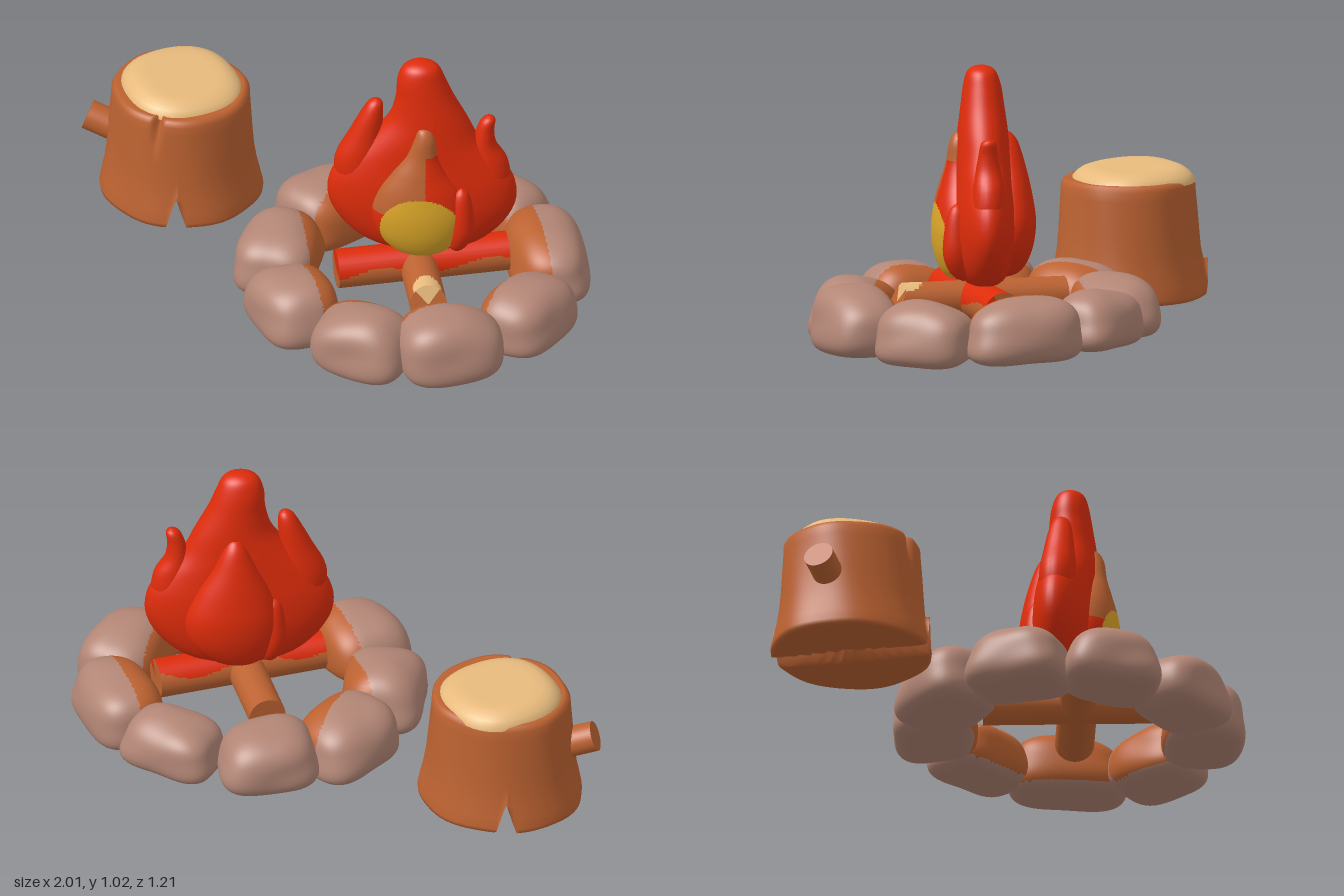
import * as THREE from 'three';
import { mergeVertices } from 'three/addons/utils/BufferGeometryUtils.js';

const mat = (name, color) => {
  const m = new THREE.MeshStandardMaterial({ color });
  m.name = name;
  return m;
};

// Weld a geometry and give it smooth normals
function smooth(geo) {
  geo.deleteAttribute('uv');
  geo.deleteAttribute('normal');
  const g = mergeVertices(geo, 1e-4);
  g.clearGroups();
  g.computeVertexNormals();
  return g;
}

// Round skin: fn(angle, t, out) places each point, t running from bottom to top
function skin(seg, rows, fn) {
  const geo = new THREE.PlaneGeometry(1, 1, seg, rows);
  const pos = geo.attributes.position, p = new THREE.Vector3();
  for (let i = 0; i < pos.count; i++) {
    fn((pos.getX(i) + 0.5) * Math.PI * 2, pos.getY(i) + 0.5, p);
    pos.setXYZ(i, p.x, p.y, p.z);
  }
  return smooth(geo);
}

// Sort faces into material groups; rule(centre) returns a material index
function paint(geo, count, rule) {
  const pos = geo.attributes.position, idx = geo.index.array;
  const lists = Array.from({ length: count }, () => []);
  const c = new THREE.Vector3(), v = new THREE.Vector3();
  for (let i = 0; i < idx.length; i += 3) {
    c.set(0, 0, 0);
    for (let k = 0; k < 3; k++) c.add(v.fromBufferAttribute(pos, idx[i + k]));
    lists[rule(c.divideScalar(3))].push(idx[i], idx[i + 1], idx[i + 2]);
  }
  geo.setIndex(lists.flat());
  geo.clearGroups();
  let start = 0;
  lists.forEach((l, m) => { geo.addGroup(start, l.length, m); start += l.length; });
  return geo;
}

// Flame tongue lofted through rows of [y, centreX, centreZ, radiusX, radiusZ]
function tongue(rows, seg = 40, steps = 36) {
  const path = new THREE.CatmullRomCurve3(rows.map(r => new THREE.Vector3(r[1], r[0], r[2])));
  const size = new THREE.CatmullRomCurve3(rows.map(r => new THREE.Vector3(r[3], r[4], 0)));
  path.curveType = size.curveType = 'catmullrom';
  return skin(seg, steps, (a, t, p) => {
    const c = path.getPoint(t), s = size.getPoint(t);
    const end = t < 1e-6 || t > 1 - 1e-6 ? 0 : 1;
    p.set(c.x + end * Math.max(0, s.x) * Math.sin(a), c.y, c.z + end * Math.max(0, s.y) * Math.cos(a));
  });
}

// Log from a to b; slant leans the cut at b so it faces upward
function log(a, b, r, slant = 0) {
  const dir = b.clone().sub(a), len = dir.length();
  dir.normalize();
  const geo = new THREE.CylinderGeometry(r, r, len, 48, 36);
  const mid = a.clone().add(b).multiplyScalar(0.5);
  const q = new THREE.Quaternion().setFromUnitVectors(new THREE.Vector3(0, 1, 0), dir);
  geo.applyMatrix4(new THREE.Matrix4().compose(mid, q, new THREE.Vector3(1, 1, 1)));
  const pos = geo.attributes.position, v = new THREE.Vector3();
  for (let i = 0; i < pos.count; i++) {
    v.fromBufferAttribute(pos, i);
    const along = Math.max(0, v.clone().sub(mid).dot(dir) / (len / 2));
    v.addScaledVector(dir, -(v.y - mid.y) * slant * along);
    pos.setXYZ(i, v.x, v.y, v.z);
  }
  geo.computeVertexNormals();
  return geo;
}

export function createModel() {
  const root = new THREE.Group();
  const red = mat('flame red', 0xde2c0a), brown = mat('wood brown', 0xbc6231);
  const tan = mat('cut wood tan', 0xedbf80), stone = mat('stone', 0xb38676), yellow = mat('flame yellow', 0xdaa528);
  const add = (parent, name, geo, material) => {
    const m = new THREE.Mesh(geo, material);
    m.name = name;
    parent.add(m);
    return m;
  };
  const V = (x, y, z) => new THREE.Vector3(x, y, z);

  // Ring of stones: x, z, radial half, tangential half, bottom, top, glow threshold, glow skew
  const ring = new THREE.Group();
  ring.name = 'stoneRing';
  root.add(ring);
  [
    [0.11, -0.39, 0.15, 0.175, 0.025, 0.25, 0.78, 0], [0.44, -0.475, 0.135, 0.18, 0.035, 0.25, 0.8, 0],
    [0.735, -0.325, 0.135, 0.205, 0.015, 0.26, 0.15, 0], [0.86, 0, 0.14, 0.178, 0.003, 0.237, 0.68, 0.25],
    [0.74, 0.32, 0.14, 0.185, 0.003, 0.255, 0.55, 0.25], [0.465, 0.455, 0.142, 0.18, 0.003, 0.235, 0.55, 0.3],
    [0.145, 0.41, 0.148, 0.17, 0.008, 0.245, 0.4, -0.1], [-0.07, 0.175, 0.15, 0.18, 0.01, 0.25, 0.62, 0.5],
    [-0.085, -0.16, 0.152, 0.178, 0.01, 0.255, 0.35, 0.45],
  ].forEach(([x, z, rad, tang, y0, y1, glow, skew], k) => {
    const geo = smooth(new THREE.IcosahedronGeometry(1, 13));
    const pos = geo.attributes.position, n = new THREE.Vector3();
    for (let i = 0; i < pos.count; i++) {
      n.fromBufferAttribute(pos, i);
      const e = 3.1 - 0.7 * n.y;
      const box = Math.pow(Math.abs(n.x) ** e + Math.abs(n.y) ** e + Math.abs(n.z) ** e, -1 / e);
      const lump = 0.98 + 0.04 * Math.sin(3 * n.x + 2 * k) * Math.sin(2.6 * n.z + k) + 0.025 * Math.sin(4 * n.y + 3 * n.z + k);
      n.multiplyScalar(box * lump);
      const taper = 1 - 0.12 * n.y;
      pos.setXYZ(i, n.x * taper, n.y + 0.14 * n.z * Math.sin(k * 2.1) * Math.max(0, n.y), n.z * taper);
    }
    paint(geo, 2, c => (-c.x + skew * c.z > glow && c.y > -0.75 ? 1 : 0));
    geo.scale(rad, (y1 - y0) / 2, tang);
    geo.computeVertexNormals();
    const m = add(ring, 'stone', geo, [stone, brown]);
    m.position.set(x, (y0 + y1) / 2, z);
    m.rotation.y = -Math.atan2(z, x - 0.41);
  });

  // Crossed logs: one with a pale patch near its end, one glowing red along its top
  const front = log(V(0.19, 0.173, -0.235), V(0.598, 0.178, 0.232), 0.066, 0.4);
  paint(front, 2, c => (c.y > 0.21 && Math.hypot(c.x - 0.572, c.z - 0.203) < 0.05 ? 1 : 0));
  add(root, 'frontLog', front, [brown, tan]);
  const glowing = log(V(0.2, 0.177, 0.22), V(0.645, 0.177, -0.205), 0.07);
  paint(glowing, 2, c => {
    const frontSide = 0.82 * (c.x - 0.41) + c.z > 0.02;
    return c.y > (frontSide ? 0.185 : 0.215) + 0.018 * Math.sin(c.x * 22) ? 1 : 0;
  });
  add(root, 'glowingLog', glowing, [brown, red]);

  // Flame, turned so its broad face looks front and left
  const fire = new THREE.Group();
  fire.name = 'flame';
  fire.position.set(0.41, 0, -0.015);
  fire.rotation.y = Math.PI / 6;
  root.add(fire);
  add(fire, 'mainFlame', tongue([
    [0.225, 0, 0, 0, 0], [0.25, 0, 0, 0.17, 0.07], [0.32, 0, 0, 0.27, 0.105], [0.42, 0, 0, 0.33, 0.118],
    [0.52, 0, 0, 0.328, 0.115], [0.61, 0, 0, 0.275, 0.105], [0.69, 0.005, 0, 0.2, 0.1], [0.78, 0.02, 0, 0.14, 0.09],
    [0.87, 0.01, 0, 0.103, 0.078], [0.94, -0.002, 0, 0.086, 0.068], [0.99, -0.004, 0.002, 0.066, 0.053],
    [1.01, -0.004, 0.002, 0.036, 0.03], [1.016, -0.004, 0.002, 0, 0],
  ], 56, 52), red);
  add(fire, 'leftTip', tongue([
    [0.4, -0.19, 0, 0, 0], [0.5, -0.215, 0, 0.08, 0.06], [0.6, -0.222, 0, 0.088, 0.066], [0.7, -0.202, 0, 0.061, 0.055],
    [0.79, -0.178, 0, 0.04, 0.042], [0.835, -0.166, 0, 0.025, 0.026], [0.85, -0.163, 0, 0, 0],
  ], 24, 24), red);
  add(fire, 'rightTip', tongue([
    [0.4, 0.19, 0, 0, 0], [0.5, 0.225, 0, 0.08, 0.06], [0.6, 0.235, 0, 0.07, 0.056], [0.67, 0.222, 0, 0.043, 0.045],
    [0.73, 0.224, 0, 0.032, 0.035], [0.775, 0.236, 0, 0.024, 0.026], [0.79, 0.24, 0, 0, 0],
  ], 24, 24), red);

  // Front drop: yellow heart, brown crown, red flank
  const drop = tongue([
    [0.245, 0, 0.07, 0, 0], [0.27, 0, 0.075, 0.09, 0.06], [0.34, -0.005, 0.08, 0.15, 0.09], [0.43, -0.005, 0.08, 0.172, 0.1],
    [0.52, -0.005, 0.08, 0.15, 0.09], [0.6, -0.005, 0.085, 0.098, 0.065], [0.67, 0.005, 0.085, 0.058, 0.045],
    [0.74, 0.015, 0.085, 0.038, 0.034], [0.775, 0.012, 0.082, 0.022, 0.02], [0.785, 0.01, 0.08, 0, 0],
  ], 128, 120);
  paint(drop, 3, c => {
    if (c.z > 0.1 && Math.hypot(c.x, c.y - 0.385) < 0.143) return 2;
    return c.y > 0.68 || (c.y > 0.45 && c.x < 0.02) ? 1 : 0;
  });
  add(fire, 'frontFlame', drop, [red, brown, yellow]);
  add(fire, 'backFlame', tongue([
    [0.25, 0, -0.06, 0, 0], [0.28, 0.01, -0.075, 0.09, 0.06], [0.36, 0.025, -0.085, 0.155, 0.09], [0.46, 0.03, -0.09, 0.168, 0.098],
    [0.56, 0.025, -0.09, 0.135, 0.085], [0.66, 0.02, -0.09, 0.082, 0.062], [0.74, 0.02, -0.085, 0.045, 0.042],
    [0.775, 0.02, -0.08, 0.022, 0.022], [0.785, 0.02, -0.08, 0, 0],
  ]), red);
  // Small side tongues front and back
  for (const [x, z] of [[0.145, 0.105], [-0.115, -0.1]]) {
    add(fire, 'smallFlame', tongue([
      [0.26, x * 0.85, z * 0.75, 0, 0], [0.29, x * 0.9, z * 0.85, 0.03, 0.035], [0.36, x, z, 0.045, 0.048],
      [0.45, x, z, 0.042, 0.043], [0.52, x, z, 0.027, 0.026], [0.545, x, z, 0, 0],
    ], 24, 20), red);
  }

  // Stump with a bark lip, a top nick and a split running under the base
  const stump = new THREE.Group();
  stump.name = 'stump';
  stump.position.set(-0.665, 0, -0.097);
  root.add(stump);
  const profile = [
    [0, 0.03], [0.03, 0.03], [0.06, 0.03], [0.1, 0.03], [0.15, 0.03], [0.2, 0.03], [0.25, 0.03], [0.28, 0.03], [0.292, 0.035],
    [0.294, 0.05], [0.286, 0.09], [0.275, 0.14], [0.266, 0.2], [0.26, 0.27], [0.255, 0.34], [0.25, 0.4],
    [0.248, 0.435], [0.238, 0.452], [0.225, 0.456], [0.2, 0.45], [0, 0.45],
  ];
  add(stump, 'stumpBark', skin(200, profile.length - 1, (ang, t, p) => {
    let [r, y] = profile[Math.round(t * (profile.length - 1))];
    r *= 1 + 0.012 * Math.sin(3 * ang + 1) + 0.01 * Math.sin(7 * ang + y * 8);
    r -= 0.04 * Math.exp(-(((ang - 0.21) / 0.06) ** 2)) * THREE.MathUtils.smoothstep(y, 0.36, 0.43) * (r > 0.1 ? 1 : 0);
    const across = Math.abs(r * Math.sin(ang - 0.5));
    const lift = Math.max(0, 1 - across / 0.038) * 0.13;
    if (y < 0.2) y = Math.max(y, 0.03 + lift);
    p.set(r * Math.sin(ang), y, r * Math.cos(ang) * 0.95);
  }), brown);
  add(stump, 'stumpTop', skin(48, 8, (ang, t, p) => {
    const r = 0.215 * Math.cos(t * Math.PI / 2) * (1 + 0.03 * Math.sin(4 * ang + 0.8));
    const x = t > 0.999 ? 0 : r * Math.sin(ang), z = t > 0.999 ? 0 : r * Math.cos(ang);
    const rise = Math.sin(t * Math.PI / 2);
    p.set(x - 0.005, 0.44 + 0.055 * Math.min(1, 1.5 * rise) - 0.06 * x * rise, z - 0.015);
  }), tan);
  add(stump, 'branchStub', log(V(-0.2, 0.24, 0.08), V(-0.313, 0.283, 0.12), 0.054), brown);
  return root;
}
